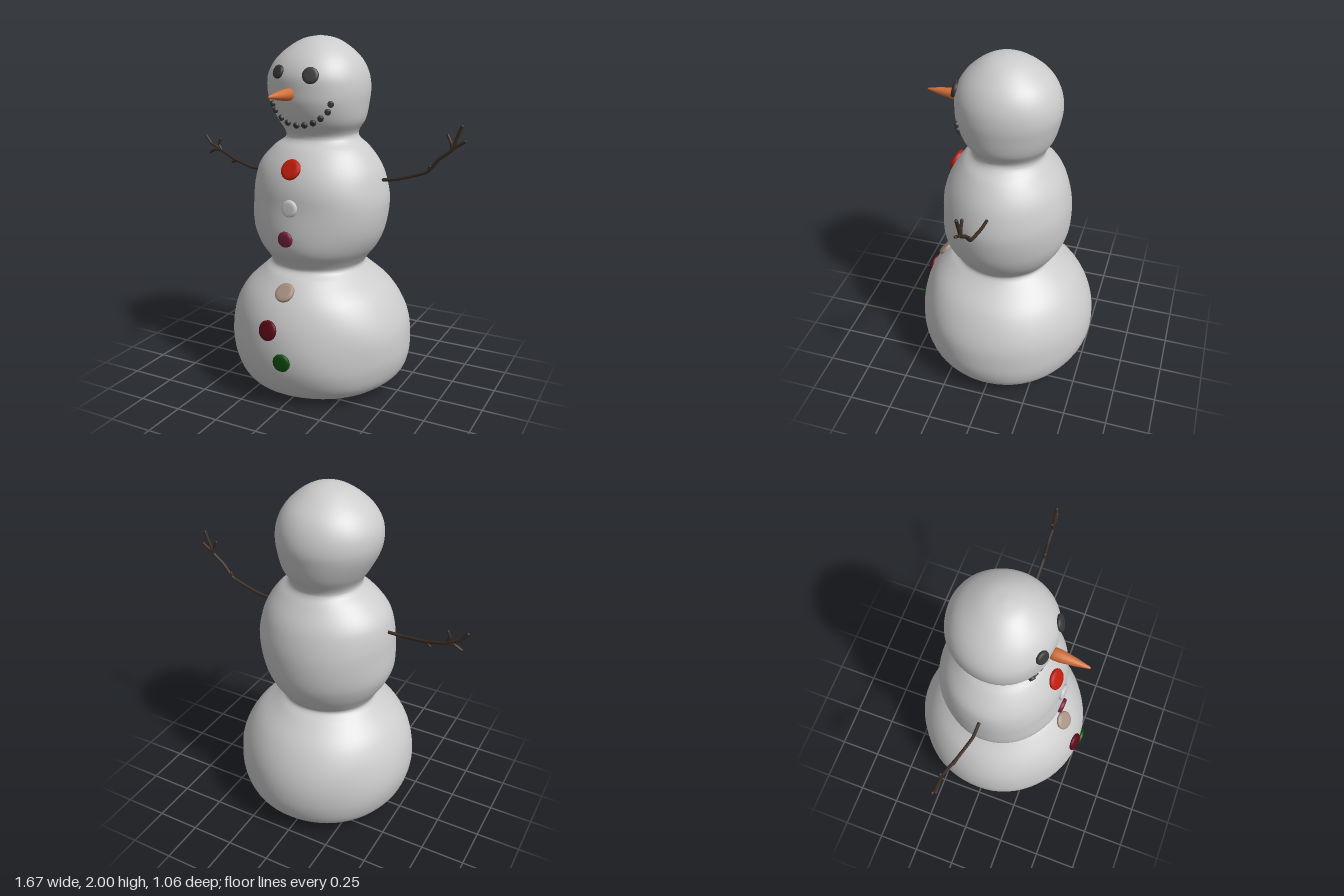
import * as THREE from 'three';
import { mergeVertices } from 'three/addons/utils/BufferGeometryUtils.js';

// Body sections from bottom to top: height, reach to -x, +x, +z, -z
const SECTIONS = [
  [0.005, 0, 0, 0, 0], [0.006, 0.24, 0.24, 0.24, 0.24], [0.04, 0.40, 0.41, 0.40, 0.41],
  [0.1, 0.465, 0.49, 0.46, 0.48], [0.2, 0.505, 0.525, 0.50, 0.52], [0.3, 0.52, 0.53, 0.51, 0.53],
  [0.4, 0.51, 0.52, 0.50, 0.52], [0.5, 0.48, 0.48, 0.475, 0.485], [0.6, 0.42, 0.41, 0.425, 0.42],
  [0.7, 0.315, 0.29, 0.335, 0.31], [0.74, 0.28, 0.26, 0.28, 0.26], [0.78, 0.295, 0.28, 0.295, 0.285],
  [0.85, 0.34, 0.33, 0.34, 0.325], [0.95, 0.38, 0.375, 0.355, 0.36], [1.1, 0.385, 0.40, 0.345, 0.37],
  [1.2, 0.378, 0.385, 0.335, 0.355], [1.3, 0.35, 0.35, 0.30, 0.32], [1.4, 0.26, 0.28, 0.235, 0.25],
  [1.45, 0.195, 0.22, 0.185, 0.215], [1.48, 0.195, 0.21, 0.185, 0.22], [1.55, 0.235, 0.25, 0.23, 0.26],
  [1.65, 0.285, 0.27, 0.265, 0.29], [1.72, 0.30, 0.275, 0.268, 0.30], [1.8, 0.29, 0.262, 0.262, 0.285],
  [1.88, 0.24, 0.22, 0.22, 0.24], [1.95, 0.155, 0.145, 0.145, 0.155], [1.985, 0.085, 0.08, 0.08, 0.085],
  [2.0, 0, 0, 0, 0],
];
// One profile curve for each of the four directions
const PROFILES = [1, 2, 3, 4].map((k) => new THREE.CatmullRomCurve3(
  SECTIONS.map((s) => new THREE.Vector3(s[k], s[0], 0))));

// Reach in each direction at height y, interpolated between sections
function reachAt(y) {
  let i = 0;
  while (i < SECTIONS.length - 2 && SECTIONS[i + 1][0] < y) i++;
  const t = (y - SECTIONS[i][0]) / (SECTIONS[i + 1][0] - SECTIONS[i][0]);
  return PROFILES.map((c) => c.getPoint((i + t) / (SECTIONS.length - 1)).x);
}

// Gentle lumps of packed snow
const lump = (x, y, z) => 1 + 0.01 * Math.sin(9 * x + 5 * y) * Math.sin(8 * z - 7 * y + 1);

// Point on the front of the body
function frontPoint(x, y) {
  const [l, r, f] = reachAt(y);
  const z = f * Math.sqrt(Math.max(0, 1 - (x / (x < 0 ? l : r)) ** 2));
  return new THREE.Vector3(x, y, z * lump(x, y, z));
}

function mat(color) {
  return new THREE.MeshStandardMaterial({ color });
}

function add(parent, name, geometry, material) {
  const mesh = new THREE.Mesh(geometry, material);
  mesh.name = name;
  parent.add(mesh);
  return mesh;
}

// Three stacked snowballs as one smooth skin: a sphere with its rings moved
function bodyGeometry() {
  const columns = 64, rows = (SECTIONS.length - 1) * 4;
  const geo = new THREE.SphereGeometry(1, columns, rows);
  const p = geo.attributes.position;
  for (let row = 0; row <= rows; row++) {
    const u = 1 - row / rows;
    const [l, r, f, b] = PROFILES.map((c) => c.getPoint(u));
    for (let col = 0; col <= columns; col++) {
      const a = ((col % columns) / columns) * Math.PI * 2;
      const cx = -Math.cos(a), sz = Math.sin(a);
      const x = cx * Math.max(0, cx < 0 ? l.x : r.x);
      const z = sz * Math.max(0, sz > 0 ? f.x : b.x);
      const k = lump(x, l.y, z);
      p.setXYZ(row * (columns + 1) + col, x * k, Math.max(0, l.y), z * k);
    }
  }
  geo.deleteAttribute('uv');
  geo.deleteAttribute('normal');
  const merged = mergeVertices(geo, 1e-5);
  merged.computeVertexNormals();
  return merged;
}

// Rounded disc lying on the snow, facing outwards
function disc(parent, name, x, y, radius, thick, material) {
  const profile = [[0, -thick], [0.9, -thick], [1, -thick * 0.3], [1, thick * 0.3], [0.9, thick * 0.85], [0.6, thick], [0, thick]]
    .map(([r, h]) => new THREE.Vector2(r * radius, h));
  const mesh = add(parent, name, new THREE.LatheGeometry(profile, 24), material);
  const e = 0.03;
  const dx = frontPoint(x + e, y).sub(frontPoint(x - e, y));
  const dy = frontPoint(x, y + e).sub(frontPoint(x, y - e));
  const normal = dx.cross(dy).normalize();
  mesh.position.copy(frontPoint(x, y)).addScaledVector(normal, thick * 0.35);
  mesh.quaternion.setFromUnitVectors(new THREE.Vector3(0, 1, 0), normal);
  return mesh;
}

// Stick along a path, closed with round ends
function twig(parent, name, points, radius, material) {
  const pts = points.map((q) => new THREE.Vector3(...q));
  const curve = new THREE.CatmullRomCurve3(pts, false, 'catmullrom', 0.25);
  const group = new THREE.Group();
  group.name = name;
  parent.add(group);
  add(group, 'stick', new THREE.TubeGeometry(curve, pts.length * 6, radius, 8), material);
  for (const end of [pts[0], pts[pts.length - 1]]) {
    add(group, 'stickEnd', new THREE.SphereGeometry(radius, 8, 6), material).position.copy(end);
  }
}

export function createModel() {
  const model = new THREE.Group();
  model.name = 'snowman';
  add(model, 'snowBody', bodyGeometry(), mat(0xcccccc));

  // Buttons from the neck down
  const buttons = [
    [-0.025, 1.31, 0.058, 0xc01c0c], [-0.01, 1.11, 0.047, 0xcccccc], [-0.03, 0.94, 0.044, 0x732238],
    [-0.02, 0.645, 0.056, 0xa89082], [-0.07, 0.455, 0.056, 0x5c0818], [0.025, 0.295, 0.05, 0x0c4a10],
  ];
  for (const [x, y, r, color] of buttons) disc(model, 'button', x, y, r, 0.014, mat(color));

  // Coal eyes and smile
  const coal = mat(0x383838);
  disc(model, 'rightEye', -0.13, 1.815, 0.037, 0.012, coal);
  disc(model, 'leftEye', 0.07, 1.805, 0.044, 0.012, coal);
  const smile = [[-0.18, 1.645], [-0.168, 1.61], [-0.13, 1.572], [-0.085, 1.55], [-0.03, 1.54],
    [0.02, 1.545], [0.07, 1.56], [0.112, 1.585], [0.15, 1.62], [0.166, 1.66]];
  for (const [x, y] of smile) disc(model, 'mouthCoal', x, y, 0.017, 0.011, coal);

  // Carrot nose
  const carrot = [[0, 0], [0.026, 0], [0.033, 0.03], [0.031, 0.07], [0.026, 0.1], [0.022, 0.13],
    [0.014, 0.17], [0.007, 0.205], [0, 0.215]].map(([r, h]) => new THREE.Vector2(r, h));
  const nose = add(model, 'carrotNose', new THREE.LatheGeometry(carrot, 16), mat(0xd2703a));
  nose.position.set(-0.047, 1.705, 0.245);
  nose.quaternion.setFromUnitVectors(new THREE.Vector3(0, 1, 0), new THREE.Vector3(-0.06, 0.02, 1).normalize());

  // Twig arms with forked ends
  const bark = mat(0x3a2c24);
  const leftArm = new THREE.Group();
  leftArm.name = 'leftArm';
  const rightArm = new THREE.Group();
  rightArm.name = 'rightArm';
  model.add(leftArm, rightArm);
  const zl = -0.005, zr = -0.075;
  twig(leftArm, 'branch', [[0.36, 1.235, zl], [0.46, 1.25, zl], [0.625, 1.305, zl], [0.69, 1.38, zl],
    [0.757, 1.434, zl], [0.78, 1.495, zl], [0.805, 1.56, zl]], 0.009, bark);
  twig(leftArm, 'fork', [[0.745, 1.425, zl], [0.775, 1.45, zl], [0.825, 1.483, zl]], 0.008, bark);
  twig(leftArm, 'fork', [[0.757, 1.434, zl], [0.752, 1.47, zl], [0.733, 1.51, zl]], 0.008, bark);
  twig(leftArm, 'nub', [[0.635, 1.315, zl], [0.642, 1.335, zl]], 0.008, bark);
  twig(rightArm, 'branch', [[-0.36, 1.225, -0.01], [-0.46, 1.225, -0.012], [-0.6, 1.252, -0.045], [-0.71, 1.292, zr],
    [-0.755, 1.315, zr], [-0.795, 1.335, zr], [-0.828, 1.378, zr]], 0.009, bark);
  twig(rightArm, 'fork', [[-0.71, 1.292, zr], [-0.765, 1.298, zr], [-0.804, 1.278, zr]], 0.008, bark);
  twig(rightArm, 'fork', [[-0.72, 1.3, zr], [-0.738, 1.33, zr], [-0.725, 1.365, zr]], 0.008, bark);
  twig(rightArm, 'nub', [[-0.59, 1.25, -0.042], [-0.627, 1.235, -0.052]], 0.008, bark);
  return model;
}
